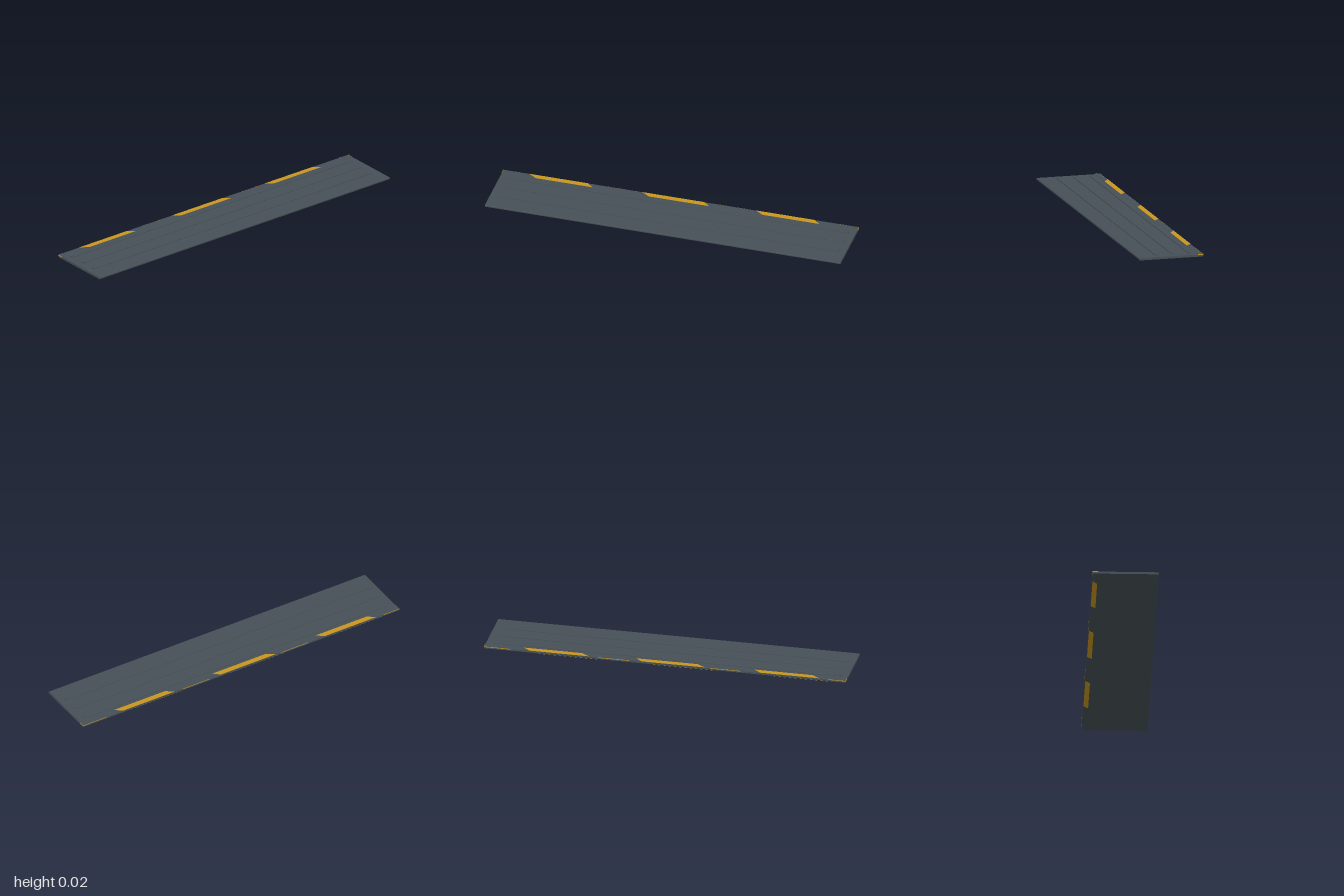
import * as THREE from 'three';

const steel = new THREE.MeshStandardMaterial({ color: 0x465056 });
steel.name = 'dark steel';
const yellow = new THREE.MeshStandardMaterial({ color: 0xc8961e });
yellow.name = 'hazard yellow';

// Bar along x with a chamfered cross-section
function bar(name, length, z0, z1, y0, y1, chamfer, material = steel) {
  const a = -z1, b = -z0, c = chamfer;
  const section = new THREE.Shape([
    [a + c, y0], [b - c, y0], [b, y0 + c], [b, y1 - c],
    [b - c, y1], [a + c, y1], [a, y1 - c], [a, y0 + c],
  ].map(([x, y]) => new THREE.Vector2(x, y)));
  const geometry = new THREE.ExtrudeGeometry(section, { depth: length, bevelEnabled: false });
  geometry.translate(0, 0, -length / 2).rotateY(Math.PI / 2);
  const mesh = new THREE.Mesh(geometry, material);
  mesh.name = name;
  return mesh;
}

// Thin slanted plate lying flat between z0 (back) and z1 (front)
function slantedPlate(name, x0, x1, slant, z0, z1, y, thickness) {
  const shape = new THREE.Shape([
    [x0 + slant, -z1], [x1, -z1], [x1 - slant * 0.8, -z0], [x0, -z0],
  ].map(([x, v]) => new THREE.Vector2(x, v)));
  const geometry = new THREE.ExtrudeGeometry(shape, { depth: thickness, bevelEnabled: false });
  geometry.rotateX(-Math.PI / 2).translate(0, y, 0);
  const mesh = new THREE.Mesh(geometry, yellow);
  mesh.name = name;
  return mesh;
}

export function createModel() {
  const group = new THREE.Group();
  group.name = 'ramp plate';

  // Main slab
  group.add(bar('slab', 2, -0.179, 0.18, 0.0008, 0.0132, 0.003));

  // Raised grip ribs
  for (const z of [0.071, -0.023, -0.116]) {
    group.add(bar('gripRib', 1.92, z - 0.01, z + 0.01, 0.011, 0.018, 0.0015));
  }

  // Edge trim along the back
  group.add(bar('edgeTrim', 1.998, -0.1795, -0.148, 0.0102, 0.015, 0.0012));
  for (const side of [-1, 1]) {
    const cap = bar('trimEnd', 0.001, -0.1795, -0.148, 0.0102, 0.015, 0.0012, yellow);
    cap.position.x = side * 1.0002;
    group.add(cap);
  }

  // Hazard stripes on the top of the trim
  for (const [x0, x1] of [[-0.855, -0.49], [-0.22, 0.165], [0.42, 0.785]]) {
    group.add(slantedPlate('topStripe', x0, x1, 0.045, -0.179, -0.1485, 0.0148, 0.0007));
  }

  // Stripes on the underside
  for (const [x0, x1] of [[-0.9, -0.56], [-0.27, 0.09], [0.375, 0.72]]) {
    group.add(slantedPlate('undersideStripe', x0, x1, 0.03, -0.176, -0.15, 0, 0.001));
  }

  // Dashes on the back face of the trim
  for (const [x0, x1] of [[-1, -0.9], [-0.42, -0.25], [0.2, 0.37], [0.85, 1]]) {
    const dash = new THREE.Mesh(new THREE.BoxGeometry(x1 - x0, 0.003, 0.001), yellow);
    dash.name = 'backDash';
    dash.position.set((x0 + x1) / 2, 0.0126, -0.1795);
    group.add(dash);
  }
  return group;
}
